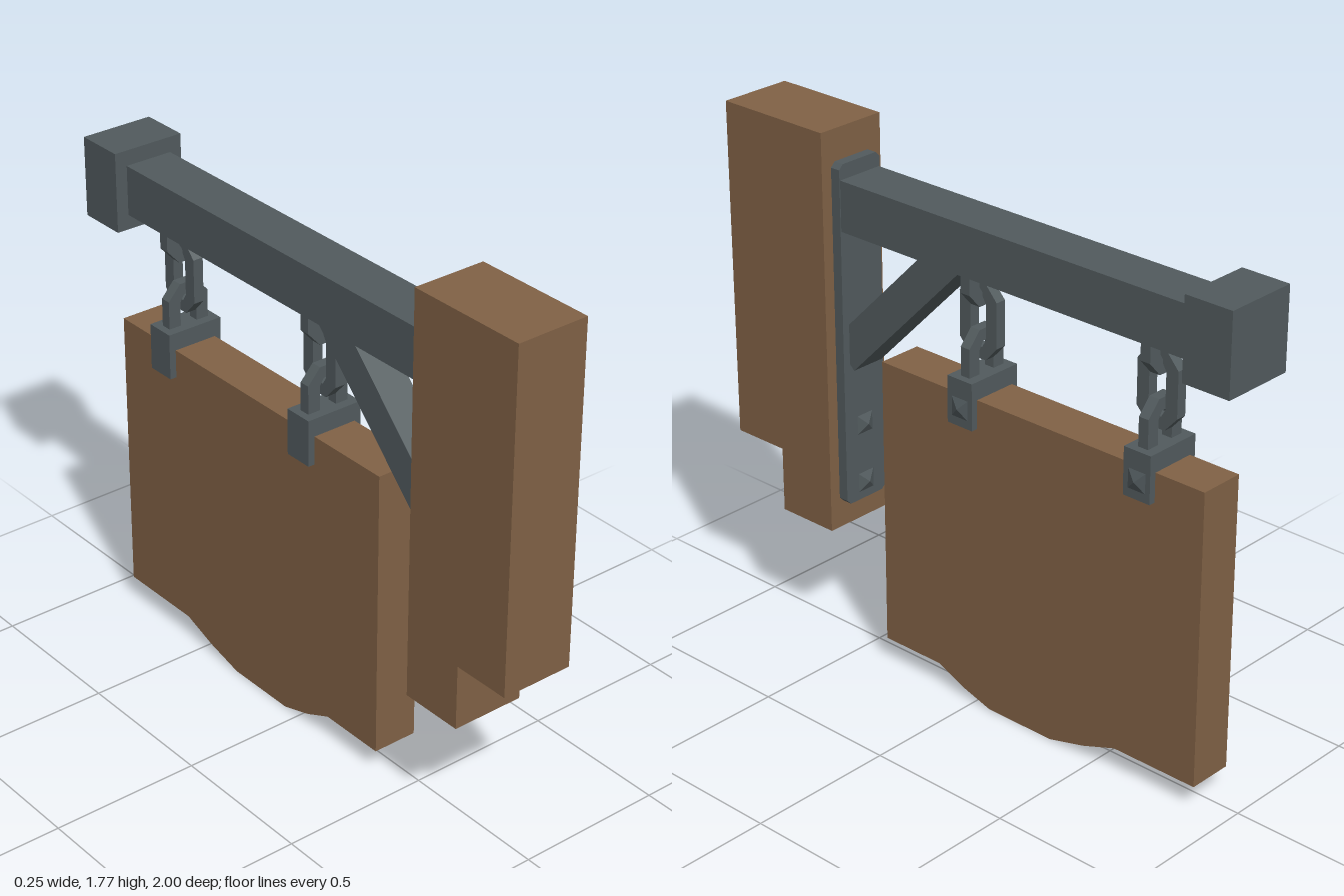
import * as THREE from 'three';

const wood = new THREE.MeshStandardMaterial({ color: 0x806145 });
wood.name = 'brown wood';
const iron = new THREE.MeshStandardMaterial({ color: 0x515a5d });
iron.name = 'dark iron';

const toPoints = (list) => list.map(([u, v]) => new THREE.Vector2(u, v));

// Prism from a (z, y) outline, centred on x = 0
function sideProfile(outline, width, hole) {
  const shape = new THREE.Shape(toPoints(outline));
  if (hole) shape.holes.push(new THREE.Path(toPoints(hole)));
  const geo = new THREE.ExtrudeGeometry(shape, { depth: width, bevelEnabled: false });
  return geo.translate(0, 0, -width / 2).rotateY(-Math.PI / 2);
}

// Rectangle with cut corners
function octagon(hw, hh, cu, cv = cu) {
  return [
    [-hw + cu, -hh], [hw - cu, -hh], [hw, -hh + cv], [hw, hh - cv],
    [hw - cu, hh], [-hw + cu, hh], [-hw, hh - cv], [-hw, -hh + cv],
  ];
}

// Four-sided pyramid stud pointing along +z, base at the origin
function studGeometry(size, height) {
  return new THREE.ConeGeometry(size / Math.SQRT2, height, 4, 1)
    .toNonIndexed()
    .rotateY(Math.PI / 4)
    .translate(0, height / 2, 0)
    .rotateX(Math.PI / 2);
}

export function createModel() {
  const group = new THREE.Group();
  group.name = 'hangingSign';

  function add(name, geo, mat, x = 0, y = 0, z = 0, parent = group) {
    if (geo.type === 'BufferGeometry' || !geo.index) geo.computeVertexNormals();
    const mesh = new THREE.Mesh(geo, mat);
    mesh.name = name;
    mesh.position.set(x, y, z);
    parent.add(mesh);
    return mesh;
  }
  const box = (w, h, d) => new THREE.BoxGeometry(w, h, d);

  // Wall post with a notch at its lower front
  add('post', sideProfile([
    [0.58, 0.42], [0.8, 0.42], [0.8, 0.64], [1, 0.64], [1, 1.775], [0.58, 1.775],
  ], 0.25), wood);

  // Mounting plate with cut corners, and its studs
  const plate = new THREE.ExtrudeGeometry(
    new THREE.Shape(toPoints(octagon(0.086, 0.58, 0.016))),
    { depth: 0.036, bevelEnabled: false });
  add('mountingPlate', plate, iron, 0, 1.09, 0.545);
  for (const y of [0.775, 0.57]) {
    add('plateStud', studGeometry(0.065, 0.017), iron, 0, y, 0.545).rotation.y = Math.PI;
  }

  // Horizontal beam, end cap and diagonal brace
  add('beam', box(0.166, 0.167, 1.42), iron, 0, 1.537, -0.13);
  add('beamCap', box(0.25, 0.268, 0.167), iron, 0, 1.538, -0.9165);
  add('brace', sideProfile([
    [0.55, 1.005], [0.527, 0.983], [0.06, 1.46], [0.225, 1.46], [0.55, 1.13],
  ], 0.12), iron);

  // Sign board with a drooping lower edge
  add('signBoard', sideProfile([
    [0.385, 1.065], [0.385, 0.08], [0.15, 0.08], [0.05, 0.035], [-0.065, 0],
    [-0.32, 0], [-0.455, 0.035], [-0.58, 0.08], [-0.89, 0.08], [-0.89, 1.065],
  ], 0.154), wood);

  // Chains and clamps
  const link = sideProfile(octagon(0.075, 0.125, 0.045, 0.05), 0.036,
    octagon(0.031, 0.085, 0.015, 0.025));
  for (const z of [0.035, -0.66]) {
    const hanger = new THREE.Group();
    hanger.name = 'hanger';
    hanger.position.z = z;
    group.add(hanger);

    add('upperLink', link, iron, 0, 1.47, 0, hanger).rotation.y = Math.PI / 2;
    add('middleLink', link, iron, 0, 1.295, 0, hanger);
    add('lowerLink', link, iron, 0, 1.145, 0, hanger).rotation.y = Math.PI / 2;

    add('clampTop', box(0.2, 0.06, 0.1), iron, 0, 1.095, 0, hanger);
    for (const s of [-1, 1]) {
      add('clampSide', box(0.025, 0.096, 0.1), iron, s * 0.0875, 1.017, 0, hanger);
    }
    add('clampStud', studGeometry(0.065, 0.014), iron, 0.1, 1.03, 0, hanger).rotation.y = Math.PI / 2;
  }

  return group;
}
